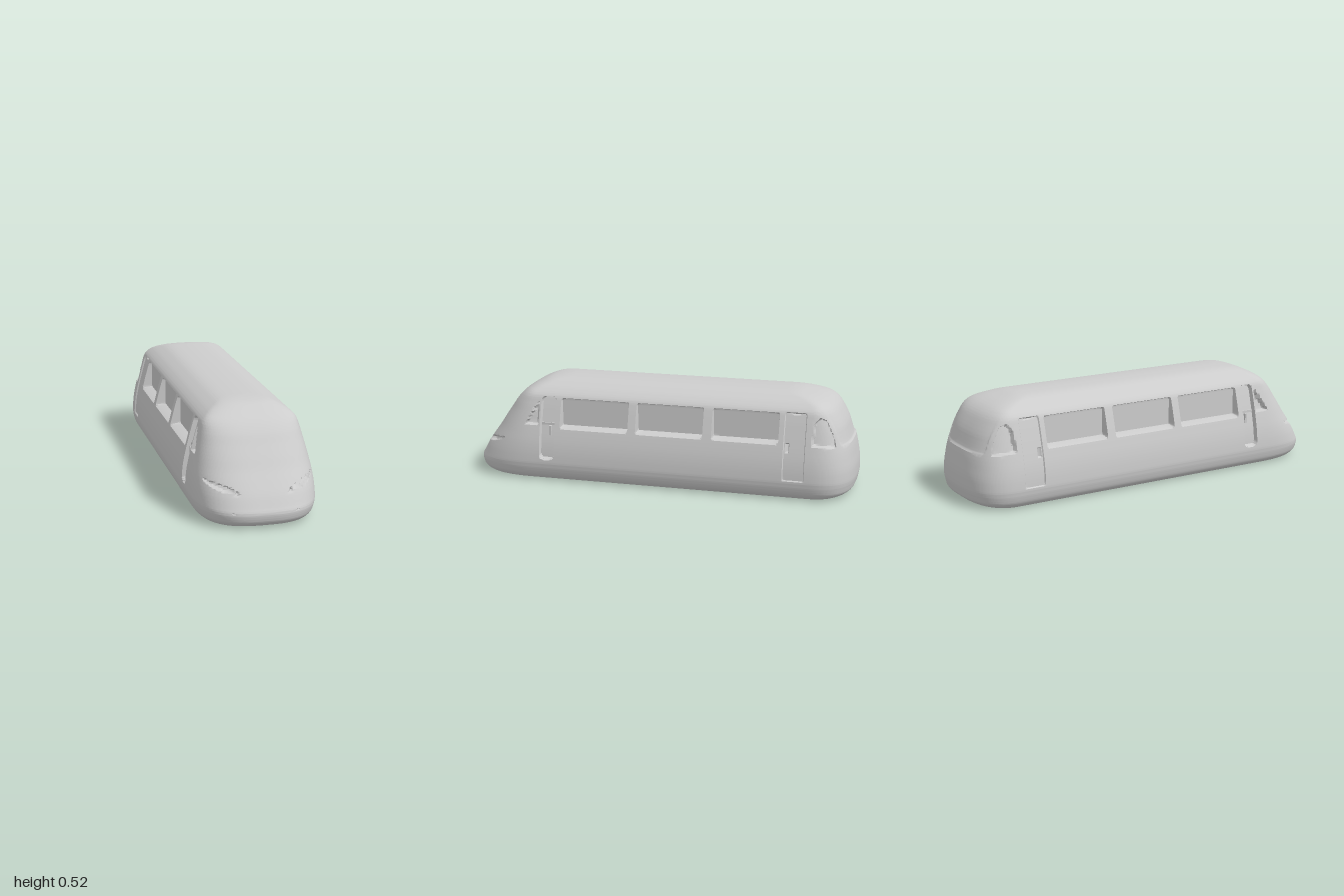
import * as THREE from 'three';
import { toCreasedNormals } from 'three/addons/utils/BufferGeometryUtils.js';

// Horizontal slices of the shell: y, half width, front z, back z
const SLICES = [
  [0, 0.24, 0.9, -0.87], [0.008, 0.262, 0.96, -0.945], [0.03, 0.283, 0.99, -0.985],
  [0.06, 0.294, 1, -0.995], [0.08, 0.298, 0.999, -0.999], [0.1, 0.3, 0.988, -1],
  [0.15, 0.298, 0.96, -0.998], [0.2, 0.292, 0.925, -0.99], [0.25, 0.282, 0.888, -0.98],
  [0.3, 0.27, 0.855, -0.965], [0.35, 0.257, 0.82, -0.948], [0.4, 0.243, 0.785, -0.92],
  [0.44, 0.228, 0.745, -0.89], [0.47, 0.195, 0.7, -0.85], [0.49, 0.16, 0.66, -0.8],
  [0.505, 0.125, 0.62, -0.74], [0.513, 0.085, 0.57, -0.7], [0.517, 0.03, 0.52, -0.66],
];
const FRONT = 0.64, BACK = -0.78, END_GAP = 0.08;
const PER_SLICE = 8, END_COLS = 90, POWER = 2 / 2.8;

const WINDOWS = [[0.14, 0.503], [-0.25, 0.1], [-0.635, -0.295]];
const DOORS = [[0.53, 0.61], [-0.77, -0.66]];

// Signed distances, negative inside
const roundRect = (a, b, c, d, r) => (u, v) => {
  const p = Math.abs(u - (a + b) / 2) - (b - a) / 2 + r;
  const q = Math.abs(v - (c + d) / 2) - (d - c) / 2 + r;
  return Math.hypot(Math.max(p, 0), Math.max(q, 0)) + Math.min(Math.max(p, q), 0) - r;
};
const convex = (pts) => {
  const cx = pts.reduce((s, p) => s + p[0], 0) / pts.length;
  const cy = pts.reduce((s, p) => s + p[1], 0) / pts.length;
  const edges = pts.map((p, i) => {
    const q = pts[(i + 1) % pts.length];
    let nx = q[1] - p[1], ny = p[0] - q[0];
    const l = Math.hypot(nx, ny) * (nx * (p[0] - cx) + ny * (p[1] - cy) < 0 ? -1 : 1);
    nx /= l; ny /= l;
    return [nx, ny, nx * p[0] + ny * p[1]];
  });
  return (u, v) => Math.max(...edges.map(([x, y, d]) => x * u + y * v - d));
};
const cover = (d, soft = 0.004) => THREE.MathUtils.clamp(-d / soft, 0, 1);

// Recesses in the side walls, in (z, y); depth depends on the wall's own x
const paneDepth = (x) => Math.max(0.012, x - 0.222);
const SIDE = [
  ...WINDOWS.map(([a, b]) => [roundRect(a, b, 0.28, 0.43, 0.012), paneDepth]),
  [roundRect(...DOORS[0], 0.115, 0.435, 0.025), () => 0.025],
  [roundRect(...DOORS[1], 0.1, 0.435, 0.012), () => 0.007],
  [roundRect(-0.69, -0.672, 0.24, 0.285, 0.003), () => 0.02],
  [convex([[-0.685, 0.42], [-0.75, 0.42], [-0.735, 0.435], [-0.7, 0.432]]), () => 0.018],
  [convex([[0.695, 0.29], [0.622, 0.29], [0.622, 0.41]]), () => 0.03],
  [convex([[-0.8, 0.28], [-0.915, 0.27], [-0.9, 0.33], [-0.865, 0.4], [-0.835, 0.415], [-0.81, 0.39]]), () => 0.022],
];
// Recesses in the nose, in (|x|, y)
const NOSE = [
  [convex([[0.143, 0.168], [0.143, 0.176], [0.17, 0.19], [0.262, 0.21], [0.256, 0.198], [0.235, 0.183], [0.175, 0.162]]), 0.03],
  [convex([[0.113, 0.155], [0.14, 0.155], [0.128, 0.173]]), 0.015],
  [convex([[0.138, 0.076], [0.168, 0.076], [0.153, 0.084]]), 0.008],
];
const rearScreen = roundRect(-0.205, 0.205, 0.27, 0.46, 0.02);

function recess(x, y, z) {
  const ax = Math.abs(x);
  let dx = 0, dz = 0;
  for (const [sdf, depth] of SIDE) dx = Math.max(dx, cover(sdf(z, y)) * depth(ax));
  if (z > 0.75) for (const [sdf, depth] of NOSE) dz = Math.max(dz, cover(sdf(ax, y)) * depth);
  if (z < -0.85) dz = -cover(rearScreen(x, y), 0.006) * 0.007 * THREE.MathUtils.clamp((0.45 - y) / 0.12, 0, 1);
  return [Math.sign(x) * Math.max(ax - dx, 0), y, z - dz];
}

// Column positions along the side, tightened at each opening's edge
function sideColumns() {
  const zs = [BACK, FRONT];
  for (let z = BACK + 0.03; z < FRONT - 0.01; z += 0.03) zs.push(z);
  for (const e of [...WINDOWS, ...DOORS].flat()) zs.push(e - 0.008, e - 0.004, e, e + 0.004, e + 0.008);
  for (let z = 0.535; z < 0.64; z += 0.01) zs.push(z, -0.13 - z);
  return [...new Set(zs.map((z) => +z.toFixed(4)))].filter((z) => z >= BACK && z <= FRONT).sort((a, b) => a - b);
}

function ring(y, w, zF, zB, columns) {
  const f = Math.min(FRONT, zF - END_GAP), b = Math.max(BACK, zB + END_GAP);
  const side = columns.map((z) => b + (f - b) * (z - BACK) / (FRONT - BACK));
  const end = (z0, z1, dir) => {
    const pts = [];
    for (let i = 1; i < END_COLS; i++) {
      const t = Math.PI * i / END_COLS, c = Math.cos(t);
      pts.push([dir * w * Math.sign(c) * Math.abs(c) ** POWER, y, z0 + (z1 - z0) * Math.sin(t) ** POWER]);
    }
    return pts;
  };
  return [
    ...side.map((z) => [w, y, z]), ...end(f, zF, 1),
    ...side.slice().reverse().map((z) => [-w, y, z]), ...end(b, zB, -1),
  ];
}

function shellGeometry() {
  const curve = (k) => new THREE.CatmullRomCurve3(
    SLICES.map((s) => new THREE.Vector3(s[1], s[0], s[k])), false, 'catmullrom', 0.5);
  const toFront = curve(2), toBack = curve(3);
  const columns = sideColumns(), rows = [];
  const n = (SLICES.length - 1) * PER_SLICE;
  for (let i = 0; i <= n; i++) {
    const p = toFront.getPoint(i / n), q = toBack.getPoint(i / n);
    rows.push(ring(Math.max(p.y, 0), p.x, p.z, q.z, columns).map((v) => recess(...v)));
  }
  // Close the floor and roof along the centre line
  const flat = (row) => row.map(([, y, z]) => [0, y, z]);
  rows.unshift(flat(rows[0]));
  rows.push(flat(rows[rows.length - 1]));

  const m = rows[0].length, index = [];
  for (let r = 0; r < rows.length - 1; r++) {
    for (let c = 0; c < m; c++) {
      const d = (c + 1) % m;
      const a = r * m + c, up = a + m, next = r * m + d, far = next + m;
      index.push(a, up, next, up, far, next);
    }
  }
  const geo = new THREE.BufferGeometry();
  geo.setAttribute('position', new THREE.Float32BufferAttribute(rows.flat(2), 3));
  geo.setIndex(index);
  return toCreasedNormals(geo, 0.6);
}

export function createModel() {
  const model = new THREE.Group();
  model.name = 'railcar';
  const grey = new THREE.MeshStandardMaterial({ color: 0xcccccc });
  grey.name = 'light grey';
  const add = (geo, name, x, y, z) => {
    const mesh = new THREE.Mesh(geo, grey);
    mesh.name = name;
    mesh.position.set(x, y, z);
    model.add(mesh);
    return mesh;
  };

  add(shellGeometry(), 'bodyShell', 0, 0, 0);

  for (const s of [1, -1]) {
    const label = s > 0 ? 'left' : 'right';
    // Upright grab handle in the front door recess
    add(new THREE.BoxGeometry(0.016, 0.05, 0.012), label + 'DoorHandle', s * 0.257, 0.262, 0.558);
    // Sill across the front door below its window
    add(new THREE.BoxGeometry(0.012, 0.012, 0.07), label + 'DoorSill', s * 0.247, 0.295, 0.57);
  }
  return model;
}
